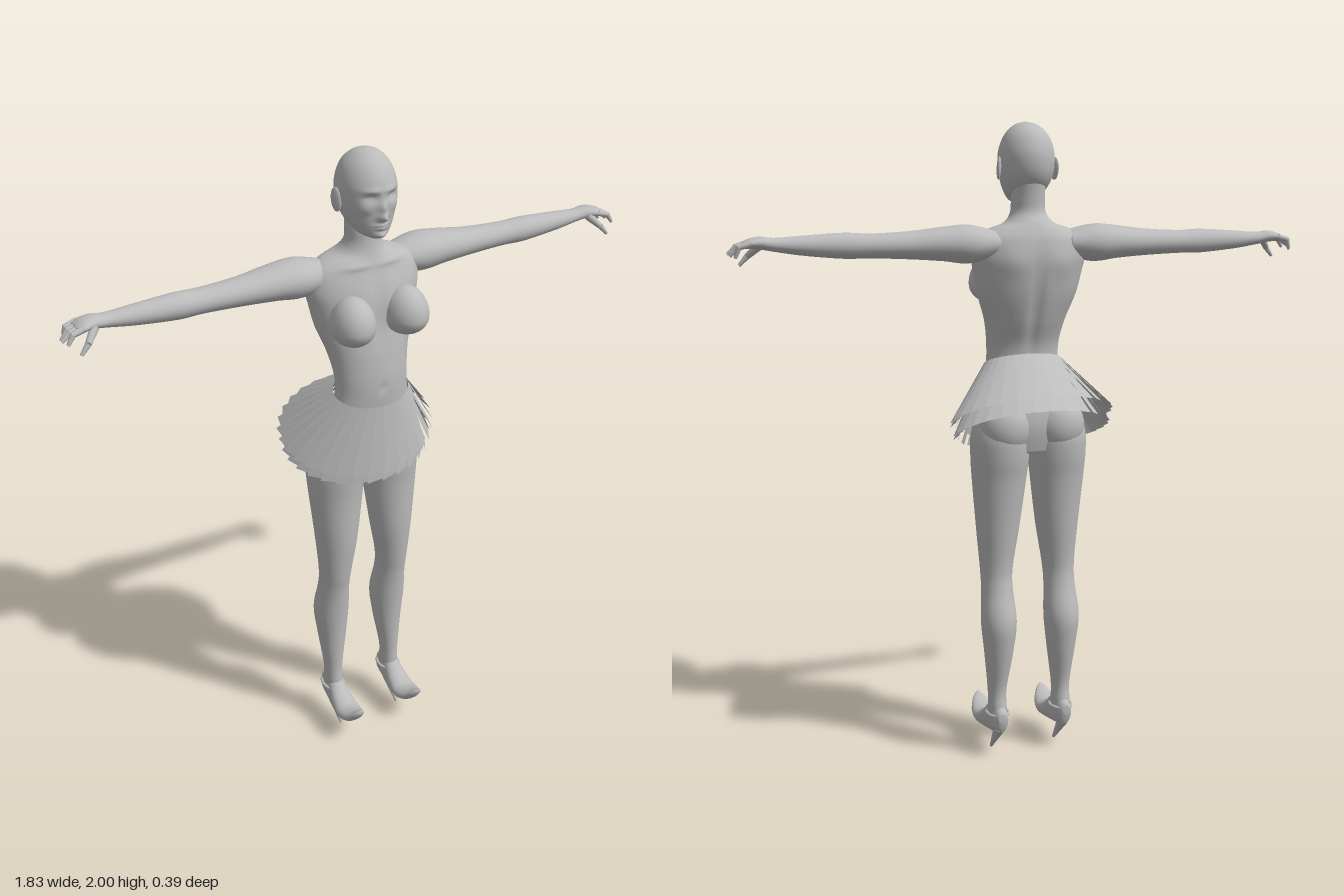
import * as THREE from 'three';

const grey = new THREE.MeshStandardMaterial({ color: 0xbbbbbb });
grey.name = 'grey';
const clothGrey = grey.clone();
clothGrey.name = 'grey cloth';
clothGrey.side = THREE.DoubleSide;

// Catmull-Rom blend of table rows at fraction u
function sampleRows(rows, u) {
  const f = u * (rows.length - 1), i = Math.min(Math.floor(f), rows.length - 2), t = f - i;
  const row = k => rows[Math.max(0, Math.min(rows.length - 1, k))];
  return rows[i].map((p1, c) => {
    const p0 = row(i - 1)[c], p2 = row(i + 1)[c], p3 = row(i + 2)[c];
    return 0.5 * (2 * p1 + (p2 - p0) * t + (2 * p0 - 5 * p1 + 4 * p2 - p3) * t * t
      + (3 * p1 - p0 - 3 * p2 + p3) * t * t * t);
  });
}

// Smooth loft of oval sections; each row is [t, aMin, aMax, bMin, bMax], and
// place(t, a, b) maps it to space. Bumps are [x, y, spreadX, spreadY, push, side].
function loft(rows, place, { around = 28, steps = 6, bumps = [] } = {}) {
  const table = [...rows].sort((p, q) => p[0] - q[0]);
  const n = (table.length - 1) * steps, pos = [], idx = [];
  const add = (t, a, b, s = 0) => {
    const p = place(t, a, b);
    for (const [x, y, sx, sy, push, side] of bumps) {
      const facing = Math.max(0, s * side);
      const d = ((Math.abs(p[0]) - x) / sx) ** 2 + ((p[1] - y) / sy) ** 2;
      p[2] += push * Math.exp(-d) * Math.min(1, facing * 2);
    }
    pos.push(...p);
  };
  for (let i = 0; i <= n; i++) {
    const [t, a0, a1, b0, b1] = sampleRows(table, i / n);
    for (let j = 0; j < around; j++) {
      const q = j / around * Math.PI * 2;
      add(t, (a0 + a1) / 2 + (a1 - a0) / 2 * Math.cos(q), (b0 + b1) / 2 + (b1 - b0) / 2 * Math.sin(q), Math.sin(q));
    }
  }
  for (const r of [table[0], table[table.length - 1]]) add(r[0], (r[1] + r[2]) / 2, (r[3] + r[4]) / 2);
  const low = (n + 1) * around, top = low + 1;
  for (let j = 0; j < around; j++) {
    const k = (j + 1) % around;
    for (let i = 0; i < n; i++) {
      const p = i * around + j, q = i * around + k;
      idx.push(p, p + around, q, q, p + around, q + around);
    }
    idx.push(low, j, k, top, n * around + k, n * around + j);
  }
  const g = new THREE.BufferGeometry();
  g.setAttribute('position', new THREE.Float32BufferAttribute(pos, 3));
  g.setIndex(idx);
  g.computeVertexNormals();
  return g;
}
const upright = (t, a, b) => [a, t, b];
const sideways = (t, a, b) => [t, b, a];
const forward = (t, a, b) => [b, a, t];

// Copy across x = 0 with the corner order reversed
function mirrored(g) {
  const m = g.clone().scale(-1, 1, 1), ix = m.index.array;
  for (let i = 0; i < ix.length; i += 3) [ix[i], ix[i + 1]] = [ix[i + 1], ix[i]];
  m.computeVertexNormals();
  return m;
}

function ball(x, y, z, rx, ry, rz) {
  return new THREE.SphereGeometry(1, 28, 20).scale(rx, ry, rz).translate(x, y, z);
}

// Tapered rod between two points
function rod(from, to, r0, r1) {
  const a = new THREE.Vector3(...from), b = new THREE.Vector3(...to), d = b.clone().sub(a);
  const g = new THREE.CylinderGeometry(r1, r0, d.length(), 12);
  g.applyQuaternion(new THREE.Quaternion().setFromUnitVectors(new THREE.Vector3(0, 1, 0), d.normalize()));
  const c = a.add(b).multiplyScalar(0.5);
  return g.translate(c.x, c.y, c.z);
}

// Ring of flat overlapping pleats from the waist to a tilted hem
function pleats(count, rx, zFront, zBack, yFront, yBack) {
  const pos = [];
  const at = (q, hem, r) => {
    const c = Math.cos(q), k = (c + 1) / 2; // k is 1 at the front
    return hem
      ? [rx * r * Math.sin(q), yBack + (yFront - yBack) * k, (zFront + zBack) / 2 + (zFront - zBack) / 2 * r * c]
      : [0.124 * r * Math.sin(q), 1.3 - 0.06 * k, 0.07 + 0.079 * r * c];
  };
  for (let i = 0; i < count; i++) {
    const step = Math.PI * 2 / count, q0 = i * step, q1 = q0 + step * 1.2;
    const a = at(q0, false, 1), b = at(q1, false, 0.99), c = at(q0, true, 1.02), d = at(q1, true, 0.95);
    pos.push(...a, ...c, ...b, ...b, ...c, ...d);
  }
  const g = new THREE.BufferGeometry();
  g.setAttribute('position', new THREE.Float32BufferAttribute(pos, 3));
  g.computeVertexNormals();
  return g;
}

export function createModel() {
  const model = new THREE.Group();
  model.name = 'figure';
  const add = (name, g, mat = grey) => {
    const mesh = new THREE.Mesh(g, mat);
    mesh.name = name;
    model.add(mesh);
  };
  const pair = (name, g) => {
    add('left ' + name, g);
    add('right ' + name, mirrored(g));
  };
  const sym = rows => rows.map(([y, x, z0, z1]) => [y, -x, x, z0, z1]);

  // Head with modelled face
  add('head', loft(sym([
    [2.0, 0.004, 0.036, 0.044], [1.99, 0.036, -0.004, 0.08], [1.96, 0.066, -0.042, 0.112],
    [1.915, 0.083, -0.062, 0.133], [1.87, 0.085, -0.063, 0.136], [1.83, 0.078, -0.05, 0.132],
    [1.795, 0.063, -0.02, 0.129], [1.77, 0.043, 0.02, 0.124], [1.757, 0.018, 0.06, 0.11],
  ]), upright, { around: 72, steps: 9, bumps: [
    [0, 1.826, 0.012, 0.011, 0.024, 1], [0, 1.85, 0.009, 0.02, 0.013, 1],
    [0.033, 1.882, 0.016, 0.01, -0.013, 1], [0.033, 1.88, 0.01, 0.006, 0.006, 1],
    [0.03, 1.903, 0.025, 0.007, 0.005, 1], [0, 1.803, 0.019, 0.004, 0.008, 1],
    [0, 1.793, 0.016, 0.005, 0.009, 1], [0, 1.77, 0.018, 0.011, 0.01, 1],
    [0.05, 1.85, 0.016, 0.014, 0.005, 1],
  ] }));
  const ear = ball(0, 0, 0, 0.007, 0.035, 0.019).rotateY(-0.35).rotateX(-0.15).translate(0.09, 1.862, 0.028);
  pair('ear', ear);

  // Neck, trunk and hips in one surface
  add('torso', loft(sym([
    [1.83, 0.05, -0.042, 0.06], [1.77, 0.052, -0.034, 0.07], [1.73, 0.055, -0.035, 0.074],
    [1.7, 0.078, -0.055, 0.08], [1.68, 0.132, -0.066, 0.086], [1.65, 0.175, -0.078, 0.095],
    [1.6, 0.183, -0.084, 0.112], [1.55, 0.174, -0.08, 0.122], [1.48, 0.158, -0.066, 0.125],
    [1.4, 0.13, -0.04, 0.138], [1.32, 0.117, -0.008, 0.146], [1.25, 0.122, -0.008, 0.144],
    [1.17, 0.158, -0.055, 0.135], [1.08, 0.178, -0.07, 0.12], [0.995, 0.12, -0.055, 0.085],
  ]), upright, { around: 56, steps: 6, bumps: [
    [0, 1.45, 0.016, 0.15, 0.012, -1], [0.08, 1.58, 0.035, 0.045, -0.007, -1],
    [0, 1.55, 0.015, 0.09, -0.008, 1], [0.06, 1.67, 0.045, 0.009, 0.006, 1],
    [0, 1.3, 0.008, 0.012, -0.007, 1],
  ] }));

  // Breasts: fuller below, sloping into the chest above
  const breast = ball(0, 0, 0, 0.067, 0.06, 0.08), p = breast.attributes.position;
  for (let i = 0; i < p.count; i++) if (p.getY(i) > 0) p.setY(i, p.getY(i) * 1.45);
  breast.computeVertexNormals();
  breast.rotateY(0.12).translate(0.088, 1.51, 0.114);
  pair('breast', breast);
  pair('buttock', ball(0.088, 1.075, -0.014, 0.083, 0.09, 0.078));

  // Arms with hands
  pair('arm', loft([
    [0.11, -0.06, 0.05, 1.6, 1.675], [0.2, -0.08, 0.06, 1.58, 1.695], [0.28, -0.072, 0.055, 1.588, 1.69],
    [0.38, -0.055, 0.045, 1.595, 1.678], [0.5, -0.044, 0.038, 1.6, 1.672], [0.58, -0.04, 0.04, 1.6, 1.675],
    [0.7, -0.033, 0.032, 1.611, 1.668], [0.78, -0.027, 0.026, 1.623, 1.663], [0.82, -0.03, 0.034, 1.63, 1.667],
    [0.85, -0.032, 0.044, 1.632, 1.662], [0.87, -0.026, 0.04, 1.632, 1.652],
  ], sideways));
  const fingers = [[-0.024, 0.895, 1.607], [-0.004, 0.908, 1.612], [0.016, 0.912, 1.617], [0.035, 0.902, 1.612]];
  fingers.forEach(([z, x, y], i) => {
    const knuckle = [0.885, 1.638, z + 0.002];
    pair('finger base ' + (i + 1), rod([0.85, 1.648, z], knuckle, 0.0095, 0.0085));
    pair('finger joint ' + (i + 1), ball(...knuckle, 0.0086, 0.0086, 0.0086));
    pair('finger tip ' + (i + 1), rod(knuckle, [x, y, z + 0.006], 0.0085, 0.005));
  });
  pair('thumb base', rod([0.82, 1.64, 0.024], [0.85, 1.61, 0.05], 0.013, 0.009));
  pair('thumb tip', rod([0.85, 1.61, 0.05], [0.874, 1.583, 0.056], 0.009, 0.005));

  // Legs
  pair('leg', loft([
    [1.12, 0.015, 0.165, -0.06, 0.1], [1.05, 0.004, 0.185, -0.082, 0.113], [0.98, 0.004, 0.187, -0.079, 0.111],
    [0.9, 0.012, 0.182, -0.064, 0.104], [0.75, 0.032, 0.168, -0.045, 0.098], [0.62, 0.053, 0.157, -0.03, 0.083],
    [0.55, 0.056, 0.156, -0.037, 0.071], [0.45, 0.05, 0.163, -0.062, 0.06], [0.35, 0.06, 0.153, -0.05, 0.052],
    [0.22, 0.079, 0.139, -0.023, 0.047], [0.15, 0.08, 0.138, -0.03, 0.05], [0.1, 0.088, 0.13, -0.028, 0.04],
  ], upright, { around: 36 }));

  // High-heeled shoes with upturned toes
  pair('shoe', loft([
    [-0.043, 0.12, 0.15, 0.098, 0.122], [-0.03, 0.085, 0.165, 0.086, 0.132], [0, 0.075, 0.175, 0.079, 0.139],
    [0.04, 0.067, 0.172, 0.077, 0.142], [0.08, 0.064, 0.136, 0.072, 0.148], [0.12, 0.066, 0.118, 0.068, 0.152],
    [0.16, 0.082, 0.124, 0.076, 0.147], [0.188, 0.112, 0.141, 0.091, 0.133], [0.2, 0.134, 0.146, 0.105, 0.12],
  ], forward));
  pair('heel', rod([0.11, 0.1, -0.018], [0.11, 0.003, 0.07], 0.02, 0.005));
  const strap = new THREE.TorusGeometry(0.034, 0.005, 8, 32).rotateX(Math.PI / 2).scale(1, 1, 1.3).translate(0.109, 0.14, 0.01);
  pair('ankle strap', strap);

  // Two-layer pleated skirt
  add('upper skirt', pleats(30, 0.258, 0.155, -0.19, 1.015, 1.19), clothGrey);
  add('lower skirt', pleats(30, 0.248, 0.143, -0.18, 0.98, 1.145), clothGrey);
  return model;
}
